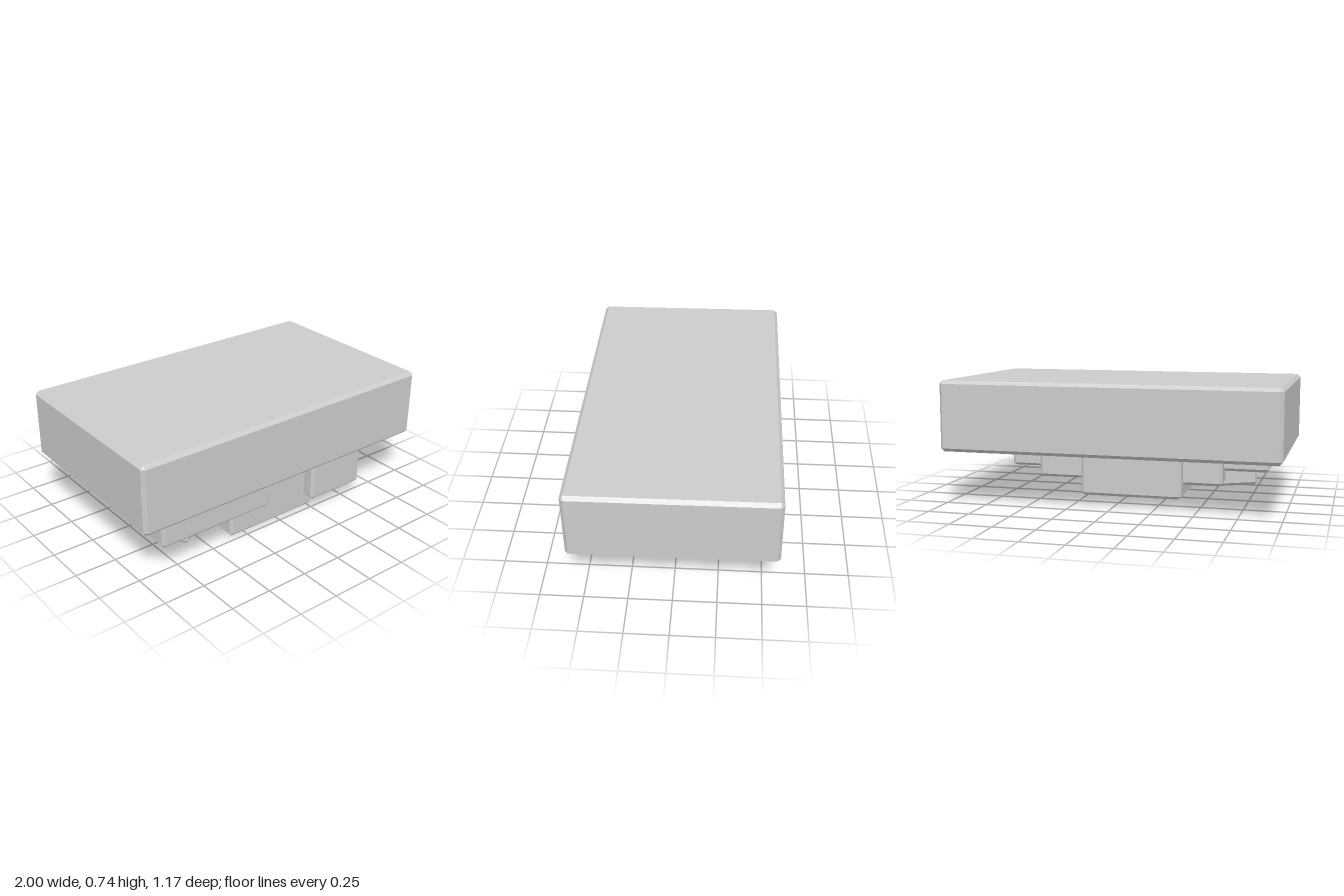
import * as THREE from 'three';
import { ConvexGeometry } from 'three/addons/geometries/ConvexGeometry.js';

// Box with flat chamfers: each corner is cut into three points
function chamferBox(w, h, d, c) {
  const points = [];
  for (const sx of [-1, 1]) for (const sy of [-1, 1]) for (const sz of [-1, 1]) {
    for (let axis = 0; axis < 3; axis++) {
      const inset = [c, c, c];
      inset[axis] = 0;
      points.push(new THREE.Vector3(
        sx * (w / 2 - inset[0]), sy * (h / 2 - inset[1]), sz * (d / 2 - inset[2])));
    }
  }
  return new ConvexGeometry(points);
}

export function createModel() {
  const group = new THREE.Group();
  const material = new THREE.MeshStandardMaterial({ color: 0xcccccc, flatShading: true });

  // Adds a chamfered block from its extents on each axis
  function block(name, [x0, x1], [y0, y1], [z0, z1], { chamfer = 0.018, tilt = 0, turn = 0 } = {}) {
    const mesh = new THREE.Mesh(chamferBox(x1 - x0, y1 - y0, z1 - z0, chamfer), material);
    mesh.name = name;
    mesh.position.set((x0 + x1) / 2, (y0 + y1) / 2, (z0 + z1) / 2);
    mesh.rotation.set(tilt, turn, 0);
    group.add(mesh);
  }

  // Main platform, very slightly lower at the front
  block('platform', [-1, 1], [0.322, 0.742], [-0.584, 0.584], { chamfer: 0.02, tilt: 0.007 });

  // Blocks hanging from the underside
  block('centreBlock', [-0.35, 0.285], [0.005, 0.4], [-0.105, 0.475], { tilt: 0.007 });
  block('leftBlock', [0.21, 0.605], [0.085, 0.4], [0.03, 0.55]);
  block('leftOuterBlock', [0.48, 0.8], [0.148, 0.4], [0.058, 0.355], { chamfer: 0.015 });
  block('rightBlock', [-0.865, -0.12], [0.172, 0.4], [0.04, 0.545]);
  block('rightBackBlock', [-0.59, -0.28], [0.088, 0.4], [-0.04, 0.28]);

  // Small block turned on its vertical axis beneath the right block
  block('turnedBlock', [-0.73, -0.44], [0.066, 0.3], [0.115, 0.405], { turn: 0.47 });

  return group;
}
